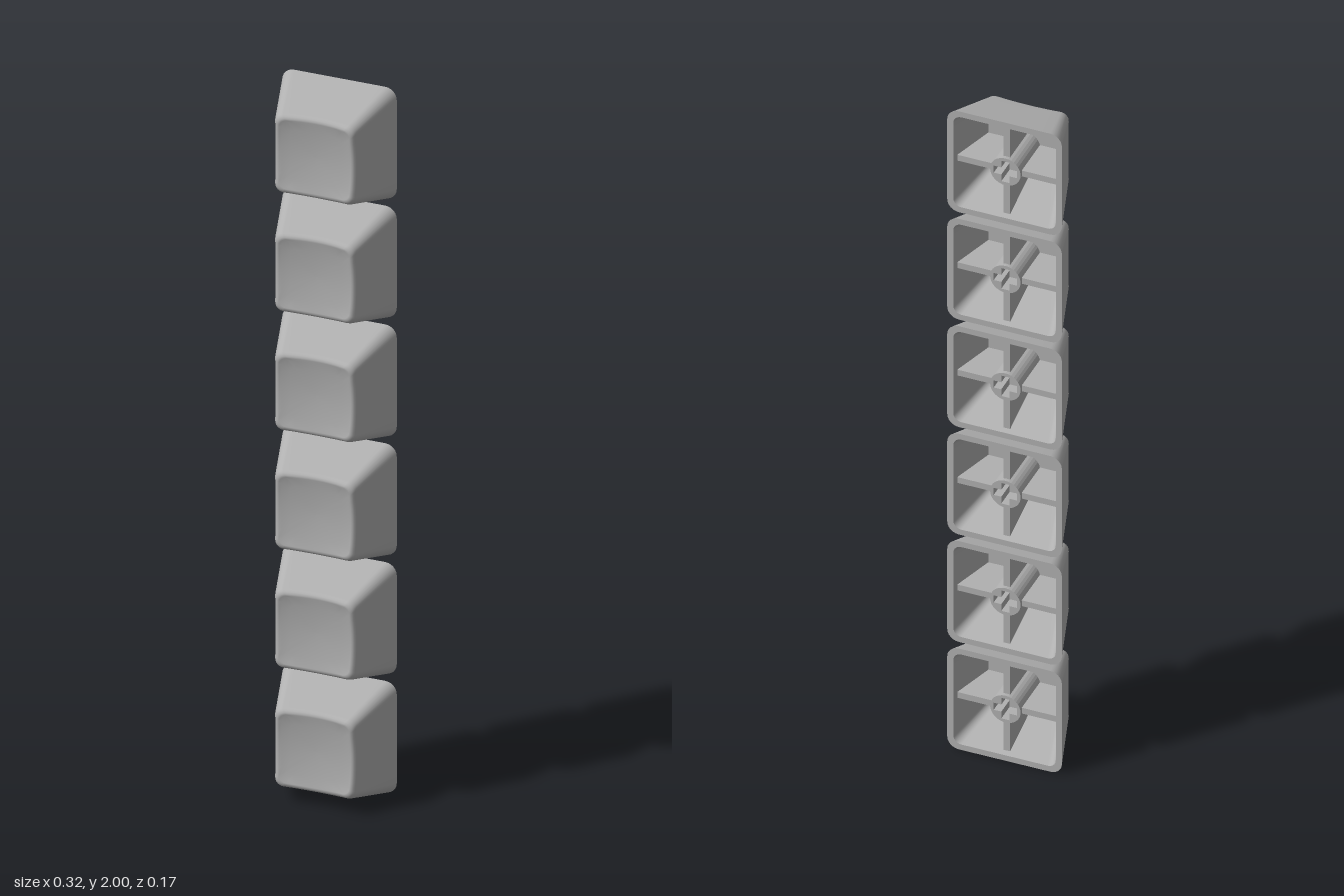
import * as THREE from 'three';

const BACK = -0.085, BASE = 0.158, CEILING = 0.05, COUNT = 6;
const PITCH = (2 - 2 * BASE) / (COUNT - 1);

// Half width of the tapering outer wall at depth z
const halfWidth = z => BASE - 0.295 * (z - BACK);
// Scooped front face, shallowest at the corners
const dish = (x, y) => 0.066 + 0.85 * x * x + 0.75 * y * y;

// Rounded square outline, counter-clockwise, with subdivided sides
function outline(w, r) {
  const points = [], corner = 6, side = 8;
  for (let k = 0; k < 4; k++) {
    const turn = k * Math.PI / 2, c = Math.cos(turn), s = Math.sin(turn);
    const add = (x, y) => points.push(new THREE.Vector2(x * c - y * s, x * s + y * c));
    for (let i = 1; i < side; i++) add(w, (w - r) * (2 * i / side - 1));
    for (let i = 0; i <= corner; i++) {
      const a = i / corner * Math.PI / 2;
      add(w - r + r * Math.cos(a), w - r + r * Math.sin(a));
    }
  }
  return points;
}

const flatRing = (w, r, z) => outline(w, r).map(p => new THREE.Vector3(p.x, p.y, z));

// Ring that follows the scooped edge, set in by inset and back by drop
function edgeRing(inset, drop, scale = 1) {
  const guide = outline(halfWidth(0.078), 0.022);
  return guide.map(g => {
    const grow = halfWidth(dish(g.x, g.y) - drop) - halfWidth(0.078) - inset;
    const f = (1 + grow / halfWidth(0.078)) * scale;
    const x = g.x * f, y = g.y * f;
    return new THREE.Vector3(x, y, (scale === 1 ? dish(g.x, g.y) : dish(x, y)) - drop);
  });
}

// Smooth skin through closed rings of equal length
function loft(rings) {
  const n = rings[0].length, index = [];
  for (let i = 0; i < rings.length - 1; i++) {
    for (let j = 0; j < n; j++) {
      const a = i * n + j, b = i * n + (j + 1) % n;
      index.push(a, b, a + n, b, b + n, a + n);
    }
  }
  const geometry = new THREE.BufferGeometry().setFromPoints(rings.flat());
  geometry.setIndex(index);
  geometry.computeVertexNormals();
  return geometry;
}

function stemGeometry() {
  const shape = new THREE.Shape().absarc(0, 0, 0.042, 0, Math.PI * 2);
  // Cross-shaped socket
  const a = 0.032, b = 0.011;
  const cross = [[a, -b], [a, b], [b, b], [b, a], [-b, a], [-b, b],
    [-a, b], [-a, -b], [-b, -b], [-b, -a], [b, -a], [b, -b]];
  shape.holes.push(new THREE.Path(cross.map(p => new THREE.Vector2(...p))));
  return new THREE.ExtrudeGeometry(shape, {
    depth: CEILING + 0.002 + 0.08, bevelEnabled: false, curveSegments: 16
  }).translate(0, 0, -0.08);
}

function ribGeometry() {
  const z0 = -0.07, z1 = CEILING + 0.002;
  const shape = new THREE.Shape([
    new THREE.Vector2(0.036, z0), new THREE.Vector2(halfWidth(z0) - 0.01, z0),
    new THREE.Vector2(halfWidth(z1) - 0.01, z1), new THREE.Vector2(0.036, z1)
  ]);
  return new THREE.ExtrudeGeometry(shape, { depth: 0.018, bevelEnabled: false })
    .translate(0, 0, -0.009).rotateX(Math.PI / 2);
}

export function createModel() {
  const model = new THREE.Group();
  model.name = 'keycapColumn';
  const grey = new THREE.MeshStandardMaterial({ color: 0xb0b0b0 });
  grey.name = 'grey plastic';

  const outerRim = flatRing(BASE, 0.032, BACK);
  const innerRim = flatRing(BASE - 0.017, 0.022, BACK);
  const ceilingEdge = flatRing(halfWidth(CEILING) - 0.017, 0.016, CEILING);
  const ceilingCentre = flatRing(0.0005, 0.0001, CEILING);

  const parts = {
    outerShell: loft([
      outerRim, edgeRing(0, 0.014), edgeRing(0.0008, 0.008), edgeRing(0.003, 0.0035),
      edgeRing(0.007, 0.001), edgeRing(0.012, 0.0012),
      ...[0.84, 0.65, 0.45, 0.25, 0.1, 0.002].map(s => edgeRing(0, 0, s))
    ]),
    rim: loft([innerRim, outerRim]),
    innerWall: loft([ceilingEdge, innerRim]),
    innerCeiling: loft([ceilingCentre, ceilingEdge]),
    stem: stemGeometry()
  };
  const rib = ribGeometry();

  for (let i = 0; i < COUNT; i++) {
    const key = new THREE.Group();
    key.name = 'keycap' + (i + 1);
    key.position.y = BASE + i * PITCH;
    for (const [name, geometry] of Object.entries(parts)) {
      const mesh = new THREE.Mesh(geometry, grey);
      mesh.name = name;
      key.add(mesh);
    }
    // Four ribs from the stem to the walls
    for (let k = 0; k < 4; k++) {
      const mesh = new THREE.Mesh(rib, grey);
      mesh.name = 'rib' + (k + 1);
      mesh.rotation.z = k * Math.PI / 2;
      key.add(mesh);
    }
    model.add(key);
  }
  return model;
}
